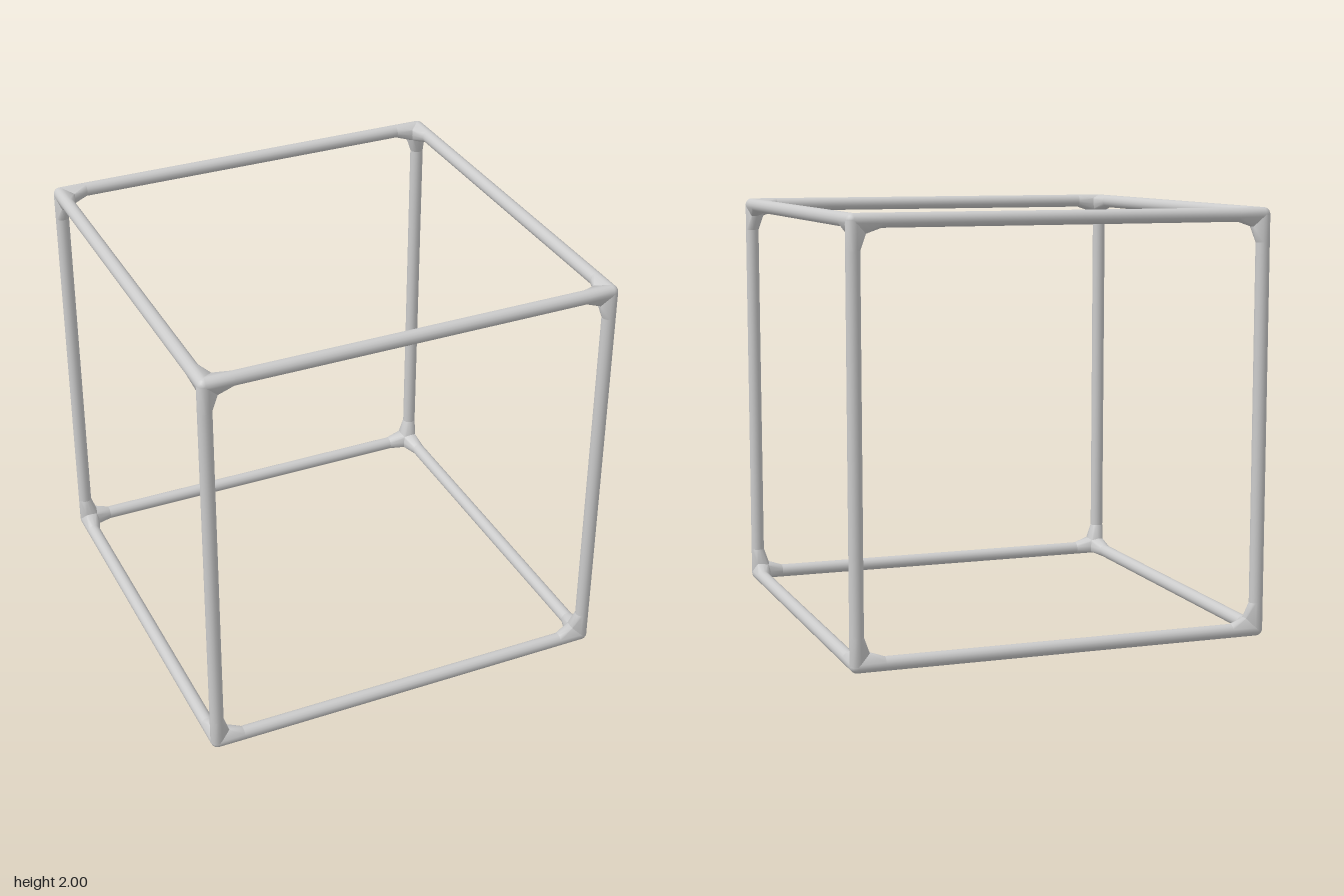
import * as THREE from 'three';
import { toCreasedNormals } from 'three/addons/utils/BufferGeometryUtils.js';
import { ConvexGeometry } from 'three/addons/geometries/ConvexGeometry.js';

const R = 0.0325;       // bar radius
const C = 1 - R;        // bar axis distance from the cube centre
const END = 0.84;       // where the straight bars meet the corner joints
const WEB = 0.912;      // inner point of the corner fillets
const SIDES = 16;
const AXES = ['x', 'y', 'z'];
const SIGNS = [-1, 1];

// Points of a rounded corner core with a small web between each pair of bars
function corePoints() {
  const points = [];
  const ball = new THREE.SphereGeometry(R, SIDES, 10).attributes.position;
  for (let i = 0; i < ball.count; i++) {
    points.push(new THREE.Vector3().fromBufferAttribute(ball, i).addScalar(C));
  }
  for (const axis of AXES) {
    for (const offset of [-0.014, 0.014]) {
      const p = new THREE.Vector3(WEB, WEB, WEB);
      p[axis] = C + offset;
      points.push(p);
    }
  }
  return points;
}

// Circle of points around one bar axis, at the end of the joint
function ringPoints(a) {
  const points = [];
  for (let i = 0; i < SIDES; i++) {
    const t = (i / SIDES) * Math.PI * 2;
    const p = new THREE.Vector3();
    p[AXES[a]] = END;
    p[AXES[(a + 1) % 3]] = C + R * Math.cos(t);
    p[AXES[(a + 2) % 3]] = C + R * Math.sin(t);
    points.push(p);
  }
  return points;
}

export function createModel() {
  const model = new THREE.Group();
  model.name = 'cubeFrame';
  const frame = new THREE.Group();
  frame.name = 'frame';
  frame.position.y = 1;
  model.add(frame);
  const material = new THREE.MeshStandardMaterial({ color: 0xcccccc });

  // Twelve round bars, four along each axis
  const barGeometry = new THREE.CylinderGeometry(R, R, END * 2, SIDES, 1, true);
  AXES.forEach((axis, a) => {
    for (const s of SIGNS) for (const t of SIGNS) {
      const bar = new THREE.Mesh(barGeometry, material);
      bar.name = 'bar';
      bar.position[AXES[(a + 1) % 3]] = s * C;
      bar.position[AXES[(a + 2) % 3]] = t * C;
      if (axis === 'x') bar.rotation.z = Math.PI / 2;
      if (axis === 'z') bar.rotation.x = Math.PI / 2;
      frame.add(bar);
    }
  });

  // Eight corner joints, each with three arms tapering into the bars
  const core = corePoints();
  for (const sx of SIGNS) for (const sy of SIGNS) for (const sz of SIGNS) {
    const joint = new THREE.Group();
    joint.name = 'cornerJoint';
    const sign = new THREE.Vector3(sx, sy, sz);
    for (let a = 0; a < 3; a++) {
      const points = [...core, ...ringPoints(a)].map((p) => p.clone().multiply(sign));
      const arm = new THREE.Mesh(toCreasedNormals(new ConvexGeometry(points), Math.PI / 3), material);
      arm.name = 'jointArm';
      joint.add(arm);
    }
    frame.add(joint);
  }
  return model;
}
